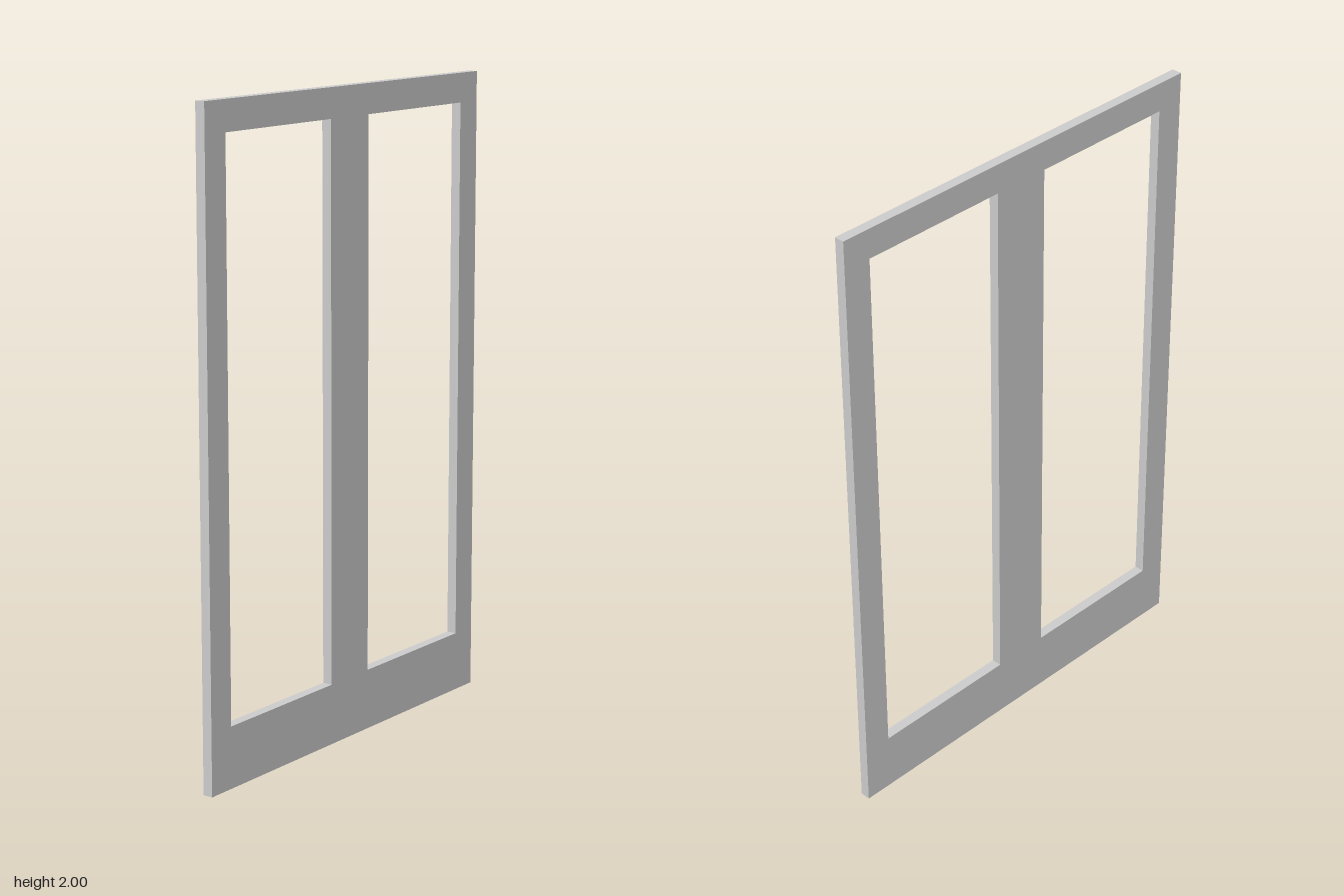
import * as THREE from 'three';

const HALF_WIDTH = 0.668, HEIGHT = 2, DEPTH = 0.032;
const OPENING = { inner: 0.093, outer: 0.578, bottom: 0.19, top: 1.908 };

// Closed rectangle as a list of corners
function rectangle(x0, y0, x1, y1) {
  return [[x0, y0], [x1, y0], [x1, y1], [x0, y1]].map(([x, y]) => new THREE.Vector2(x, y));
}

export function createModel() {
  const group = new THREE.Group();
  group.name = 'doubleDoorFrame';

  // Outer slab with one tall opening on each side of the wide middle stile
  const outline = new THREE.Shape(rectangle(-HALF_WIDTH, 0, HALF_WIDTH, HEIGHT));
  for (const side of [-1, 1]) {
    const { inner, outer, bottom, top } = OPENING;
    outline.holes.push(new THREE.Path(rectangle(side * inner, bottom, side * outer, top)));
  }

  const geometry = new THREE.ExtrudeGeometry(outline, { depth: DEPTH, bevelEnabled: false });
  geometry.translate(0, 0, -DEPTH / 2);

  const frame = new THREE.Mesh(geometry, new THREE.MeshStandardMaterial({ color: 0xcccccc }));
  frame.name = 'frame';
  group.add(frame);
  return group;
}
